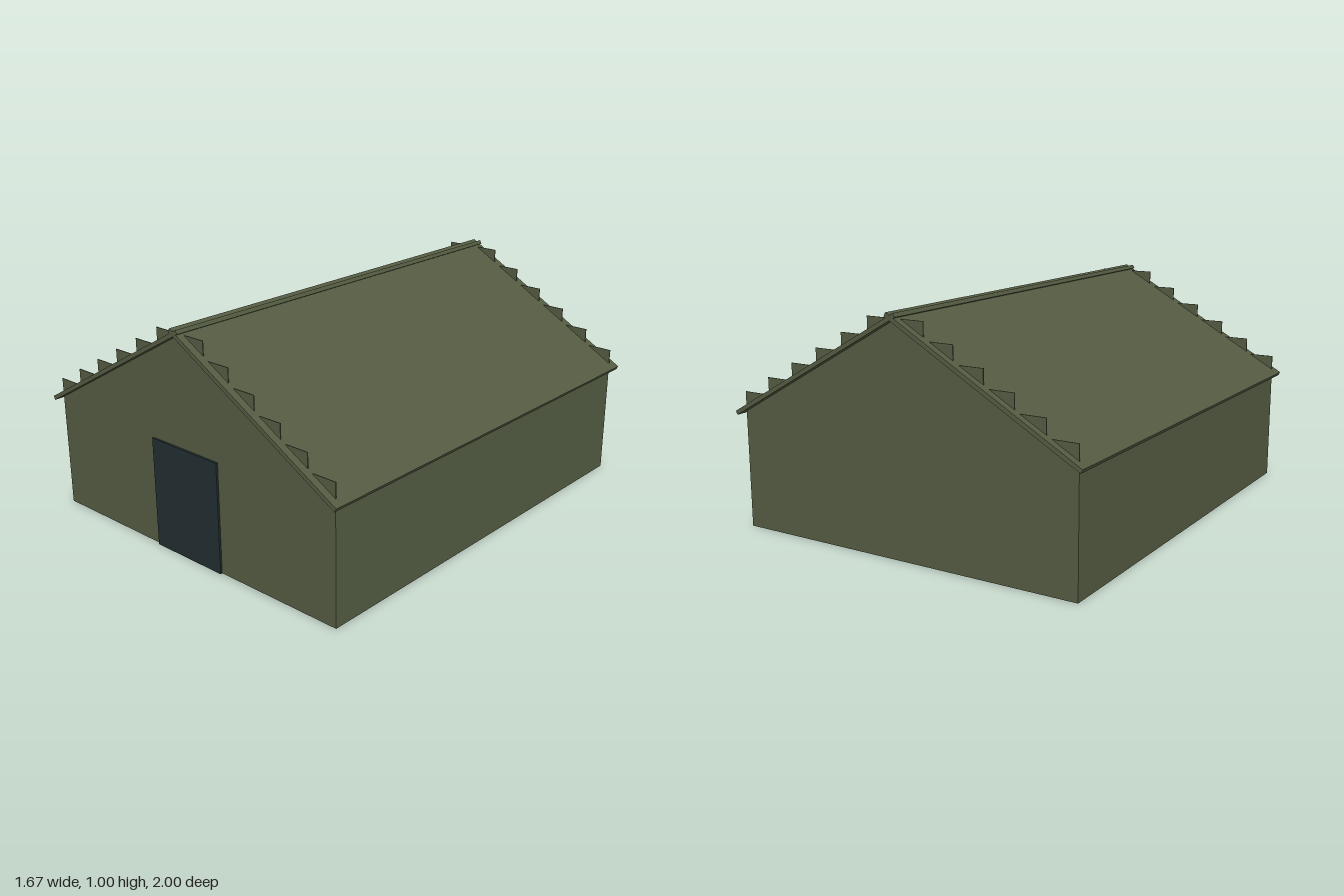
import * as THREE from 'three';

export function createModel() {
  const group = new THREE.Group();
  const olive = new THREE.MeshStandardMaterial({ color: 0x535b41 });
  olive.name = 'olive green';
  const dark = new THREE.MeshStandardMaterial({ color: 0x212e30 });
  dark.name = 'dark slate';

  const add = (name, geometry, material, x = 0, y = 0, z = 0) => {
    const mesh = new THREE.Mesh(geometry, material);
    mesh.name = name;
    mesh.position.set(x, y, z);
    group.add(mesh);
    return mesh;
  };
  const extrude = (points, depth) => new THREE.ExtrudeGeometry(
    new THREE.Shape(points.map(([x, y]) => new THREE.Vector2(x, y))),
    { depth, bevelEnabled: false });

  const half = 0.805, wallZ = 0.964;

  // Closed house body with a gabled top
  add('walls', extrude([[-half, 0], [half, 0], [half, 0.51], [0, 0.967], [-half, 0.51]],
    2 * wallZ), olive, 0, 0, -wallZ);

  // Thin stepped gable walls that rise through the roof
  const steps = 6, rise = 0.075, run = half / steps;
  const right = [[half, 0]];
  for (let i = 0; i < steps; i++) {
    const y = 0.595 + i * rise;
    right.push([half - i * run, y]);
    if (i < steps - 1) right.push([half - (i + 1) * run, y]);
  }
  const left = right.map(([x, y]) => [-x, y]).reverse();
  const gable = extrude([...right, ...left], 0.004);
  add('frontGable', gable, olive, 0, 0, wallZ);
  add('backGable', gable, olive, 0, 0, -wallZ - 0.004);

  // Two roof slabs crossing at the ridge
  const eave = [0.832, 0.505], ridge = [-0.022, 0.988];
  const dx = eave[0] - ridge[0], dy = eave[1] - ridge[1];
  const slab = new THREE.BoxGeometry(Math.hypot(dx, dy), 0.018, 2);
  for (const side of [1, -1]) {
    const roof = add(side > 0 ? 'leftRoof' : 'rightRoof', slab, olive,
      side * (eave[0] + ridge[0]) / 2, (eave[1] + ridge[1]) / 2, 0);
    roof.rotation.z = side * Math.atan2(dy, dx);
  }

  // Door panel on the front
  add('door', new THREE.BoxGeometry(0.382, 0.487, 0.009), dark, 0, 0.2435, wallZ + 0.0095);

  return group;
}
